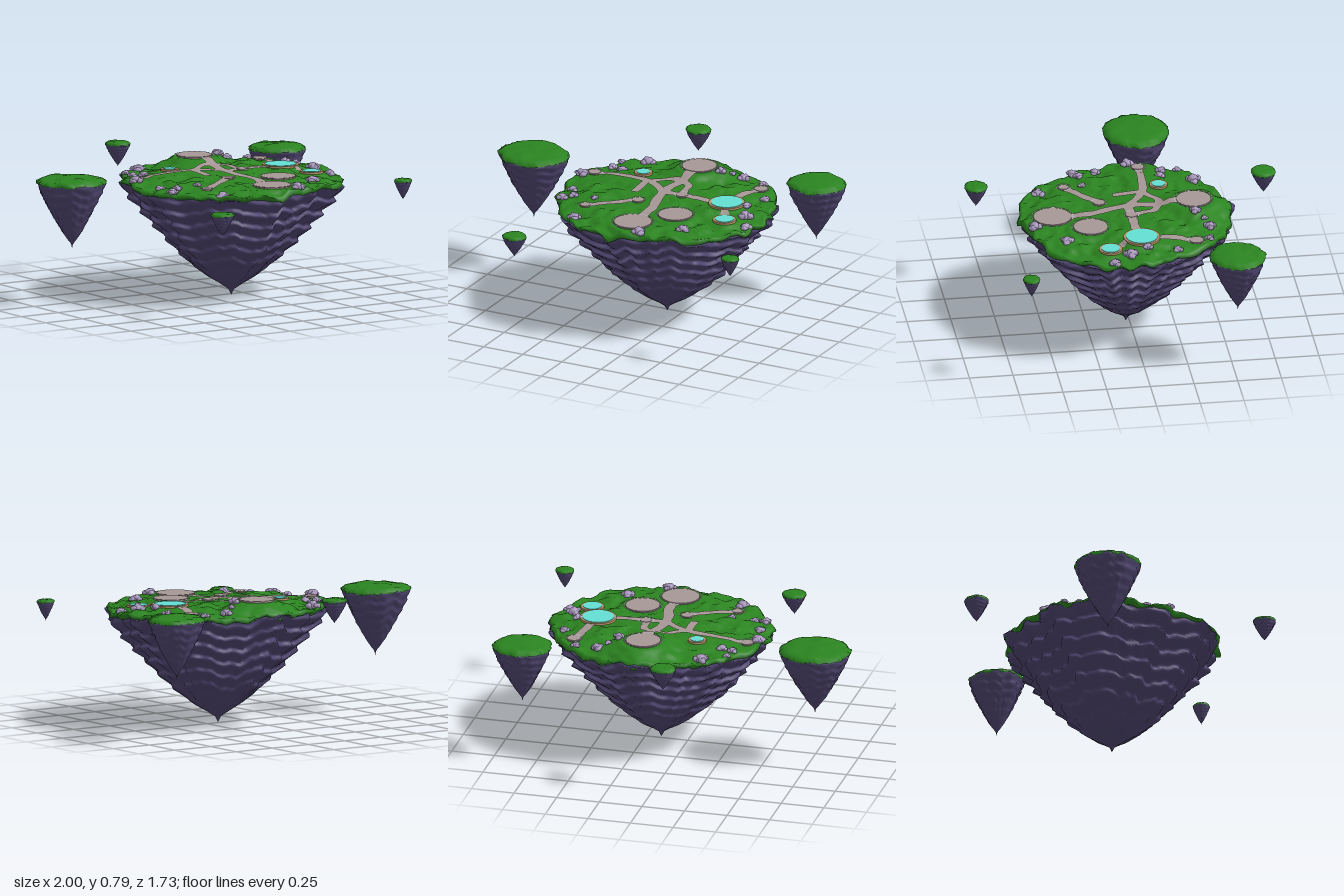
import * as THREE from 'three';
import { mergeVertices } from 'three/addons/utils/BufferGeometryUtils.js';

const mat = (name, color) => Object.assign(new THREE.MeshStandardMaterial({ color }), { name });
const { smoothstep, lerp } = THREE.MathUtils;

// Seeded value noise in the range -1..1
function hash(i, j, k) {
  let h = Math.imul(i, 374761393) ^ Math.imul(j, 668265263) ^ Math.imul(k, 1274126177);
  h = Math.imul(h ^ (h >>> 13), 1103515245);
  return ((h ^ (h >>> 16)) >>> 0) / 2147483648 - 1;
}
function noise(x, y, z) {
  const i = Math.floor(x), j = Math.floor(y), k = Math.floor(z);
  const u = smoothstep(x - i, 0, 1), v = smoothstep(y - j, 0, 1), w = smoothstep(z - k, 0, 1);
  const edge = (b, c) => lerp(hash(i, j + b, k + c), hash(i + 1, j + b, k + c), u);
  return lerp(lerp(edge(0, 0), edge(1, 0), v), lerp(edge(0, 1), edge(1, 1), v), w);
}

// Smooth surface from rows of points; wrap closes each row into a loop, flip turns it over
function grid(rows, cols, wrap, flip, fn) {
  const pos = [], idx = [];
  for (let u = 0; u < rows; u++) for (let v = 0; v < cols; v++) pos.push(...fn(u, v));
  for (let u = 0; u < rows - 1; u++) {
    for (let v = 0; v < (wrap ? cols : cols - 1); v++) {
      const w = (v + 1) % cols, a = u * cols + v, b = a + cols, c = (u + 1) * cols + w, d = u * cols + w;
      if (flip) idx.push(a, c, b, a, d, c);
      else idx.push(a, b, c, a, c, d);
    }
  }
  const g = new THREE.BufferGeometry();
  g.setAttribute('position', new THREE.Float32BufferAttribute(pos, 3));
  g.setIndex(idx);
  g.computeVertexNormals();
  return g;
}

// Layout of the main island: [x, z, radius]
const CX = 0.16, CZ = 0.02;
const plazas = [[0.163, -0.367, 0.099], [0.16, 0.44, 0.108], [0.33, 0.245, 0.098],
  [0.58, -0.325, 0.04], [-0.38, -0.125, 0.037], [0.045, 0.157, 0.035], [-0.205, 0.325, 0.03], [0.245, 0, 0.034]];
const pools = [[0.52, -0.02, 0.09], [0.605, 0.17, 0.053], [-0.11, -0.205, 0.038]];
const paths = [
  [0.031, [0.163, -0.3], [0.16, -0.18], [0.13, -0.05], [0.14, 0.1], [0.17, 0.22], [0.165, 0.38]],
  [0.025, [-0.38, -0.125], [-0.2, -0.12], [-0.03, -0.1], [0.05, -0.06], [0.13, 0.0], [0.25, 0.0], [0.46, 0]],
  [0.023, [-0.03, -0.1], [-0.025, -0.02], [-0.025, 0.07]],
  [0.022, [-0.02, -0.1], [0.03, -0.13], [0.08, -0.17], [0.16, -0.165], [0.22, -0.13], [0.23, -0.06], [0.245, 0]],
  [0.027, [0.53, -0.08], [0.545, -0.2], [0.58, -0.32]],
  [0.024, [0.54, 0.04], [0.59, 0.14]],
  [0.024, [0.045, 0.157], [-0.05, 0.23], [-0.13, 0.28], [-0.205, 0.325]],
].map(([w, ...p]) => ({ w, curve: new THREE.CatmullRomCurve3(p.map(([x, z]) => new THREE.Vector3(x, 0, z))) }));
const trail = paths.flatMap((p) => p.curve.getSpacedPoints(24));

// Gentle hill, highest at the rear plaza, falling away to the rim
function base(x, z) {
  const r = Math.hypot(x - CX, z - CZ) / 0.63;
  return 0.692 - 0.035 * r ** 3 + 0.02 * smoothstep(-z, -0.25, 0.15)
    + 0.036 * (1 - smoothstep(Math.hypot(x - 0.163, z + 0.367), 0.1, 0.23));
}
// Ground height: bumps fade near trails and it is level under plazas and pools
function ground(x, z) {
  let near = 1;
  for (const p of trail) near = Math.min(near, Math.hypot(x - p.x, z - p.z));
  let y = base(x, z) + (0.016 * noise(x * 11, 3, z * 11) + 0.01 * noise(x * 25, 9, z * 25)) * smoothstep(near, 0.04, 0.1);
  for (const [cx, cz, r] of [...plazas, ...pools]) {
    y = lerp(base(cx, cz), y, smoothstep(Math.hypot(x - cx, z - cz), r + 0.02, r + 0.055));
  }
  return y;
}

// Radius of the hanging rock against height, both 0..1
const mainProfile = [[0, 0], [0.05, 0.025], [0.1, 0.1], [0.17, 0.22], [0.31, 0.4], [0.47, 0.56], [0.62, 0.69], [0.78, 0.82], [0.9, 0.93], [1, 0.99]];
const smallProfile = [[0, 0], [0.07, 0.025], [0.13, 0.12], [0.25, 0.28], [0.45, 0.5], [0.65, 0.7], [0.85, 0.88], [1, 0.98]];
function profileAt(profile, t) {
  const i = Math.max(1, profile.findIndex((p) => p[0] >= t));
  const [a, b] = [profile[i - 1], profile[i]];
  return lerp(a[1], b[1], (t - a[0]) / (b[0] - a[0]));
}

// One floating island: layered rock cone and a grass cap with a ragged lip
function island(name, o, mats) {
  const { x, z, rx, rz, tip, height, bands, cols, rows, rings, rough } = o;
  const group = new THREE.Group();
  group.name = name;
  const dir = (v) => [Math.cos((v / cols) * Math.PI * 2), Math.sin((v / cols) * Math.PI * 2)];
  const rim = (c, s) => 1 + rough * (0.55 * noise(c * 4 + x * 9, 1, s * 4) + 0.6 * noise(c * o.scallop, 5 + x * 7, s * o.scallop));
  const rock = grid(rows + 1, cols, true, false, (u, v) => {
    const t = Math.min(1, u / (rows - 1)), [c, s] = dir(v);
    const wave = t * bands + 0.45 * noise(c * 2.5, x * 5, s * 2.5) + 0.2 * noise(c * 8, 2, s * 8);
    const f = wave - Math.floor(wave);
    const shelf = f < 0.7 ? f / 0.7 : (1 - f) / 0.3;
    const fade = smoothstep(t, 0.04, 0.45);
    let k = profileAt(o.profile, t) * (1 + (rim(c, s) - 1) * fade
      + fade * o.step * (shelf - 0.55) * (1 - 0.6 * smoothstep(t, 0.85, 1))
      + rough * 0.8 * noise(c * o.scallop, t * 4, s * o.scallop) * smoothstep(t, 0, 0.25));
    // The last row turns in beneath the grass
    if (u === rows) k *= 0.88;
    const top = height(x + c * rx * 0.97, z + s * rz * 0.97) - o.lip;
    return [x + c * rx * k, lerp(tip, top, t), z + s * rz * k];
  });
  const cap = grid(rings + 2, cols, true, false, (u, v) => {
    const [c, s] = dir(v), e = rim(c, s);
    const k = u === 0 ? 0.95 : u === 1 ? 1.0 : 1 - (u - 1) / rings;
    const m = k * lerp(1, e, k);
    const px = x + c * rx * m, pz = z + s * rz * m;
    const drop = u === 0 ? o.lip * 1.5 : u === 1 ? o.lip * (0.7 + 0.5 * noise(c * 12, 8, s * 12)) : 0;
    return [px, height(px, pz) - drop, pz];
  });
  const rockMesh = new THREE.Mesh(rock, mats.rock), capMesh = new THREE.Mesh(cap, mats.grass);
  rockMesh.name = 'hangingRock';
  capMesh.name = 'grassCap';
  group.add(rockMesh, capMesh);
  return group;
}

export function createModel() {
  const model = new THREE.Group();
  model.name = 'floatingIslands';
  const mats = {
    rock: mat('purple rock', 0x4f4670), grass: mat('grass', 0x2b8420), path: mat('path', 0xa69795),
    water: mat('water', 0x64dfd4), sand: mat('sand rim', 0xb3946a), boulder: mat('lilac boulder', 0xa897bd),
    stone: mat('edging stone', 0xb9b0c2),
  };
  mats.path.side = THREE.DoubleSide;
  const add = (name, geo, m, x = 0, y = 0, z = 0, parent = model) => {
    const mesh = new THREE.Mesh(geo, m);
    mesh.name = name;
    mesh.position.set(x, y, z);
    parent.add(mesh);
  };

  // Main island
  model.add(island('mainIsland', { x: CX, z: CZ, rx: 0.645, rz: 0.598, tip: 0, height: ground, profile: mainProfile, bands: 8,
    cols: 160, rows: 80, rings: 52, rough: 0.055, scallop: 10, step: 0.075, lip: 0.022 }, mats));

  // Satellite islands: x, z, radius along x, radius along z, top, tip
  [[-0.793, -0.172, 0.203, 0.19, 0.74, 0.325], [0.828, -0.525, 0.166, 0.158, 0.73, 0.365], [-0.07, -0.8, 0.074, 0.07, 0.787, 0.64],
    [-0.41, 0.797, 0.069, 0.065, 0.632, 0.495], [0.9, 0.665, 0.052, 0.048, 0.688, 0.565]].forEach(([x, z, rx, rz, top, tip], i) => {
    const height = (px, pz) => top - 0.09 * rx * (Math.hypot(px - x, pz - z) / rx) ** 2 + rx * 0.03 * noise(px * 3 / rx, i, pz * 3 / rx);
    model.add(island('satelliteIsland' + (i + 1), { x, z, rx, rz, tip, height, profile: smallProfile, bands: 7, cols: rx > 0.1 ? 72 : 48,
      rows: 36, rings: 8, rough: 0.065, scallop: 6, step: 0.05, lip: 0.06 * rx + 0.006 }, mats));
  });

  // Winding paths laid over the ground
  paths.forEach(({ w, curve }, i) => {
    const n = 40, across = 5;
    add('path' + (i + 1), grid(n + 1, across, false, true, (u, v) => {
      const p = curve.getPointAt(u / n), t = curve.getTangentAt(u / n);
      const k = (v / (across - 1) - 0.5) * 2 * w * (1 + 0.15 * noise(p.x * 25, i, p.z * 25));
      const x = p.x - t.z * k, z = p.z + t.x * k;
      return [x, ground(x, z) + 0.007, z];
    }), mats.path);
  });

  // Round plazas, each edged with a broken ring of flat stones
  plazas.forEach(([x, z, r], i) => {
    const y = base(x, z);
    add('plaza' + (i + 1), new THREE.CylinderGeometry(r, r, 0.03, 40), mats.path, x, y - 0.005, z);
    const ring = new THREE.Group();
    ring.name = 'stoneRing' + (i + 1);
    ring.position.set(x, y + 0.009, z);
    const n = Math.round((r * Math.PI * 2) / 0.028), step = (Math.PI * 2) / n;
    for (let k = 0; k < n; k++) {
      const arc = new THREE.RingGeometry(r + 0.005, r + 0.014, 3, 1, k * step, step * 0.75).rotateX(-Math.PI / 2);
      add('edgingStone', arc, mats.stone, 0, 0, 0, ring);
    }
    model.add(ring);
  });

  // Pools with sandy rims
  pools.forEach(([x, z, r], i) => {
    const y = base(x, z);
    add('poolRim' + (i + 1), new THREE.CylinderGeometry(r + 0.014, r + 0.016, 0.026, 40), mats.sand, x, y - 0.002, z);
    add('poolWater' + (i + 1), new THREE.CylinderGeometry(r, r, 0.006, 40), mats.water, x, y + 0.011, z);
  });

  // Boulder clusters: x, z, size
  [[-0.19, -0.415, 0.038], [-0.33, -0.25, 0.026], [-0.265, -0.235, 0.027], [-0.43, -0.07, 0.035], [-0.39, 0.12, 0.026],
    [-0.39, 0.25, 0.028], [-0.335, 0.22, 0.025], [-0.2, 0.22, 0.02], [-0.195, 0.475, 0.036], [0.26, 0.555, 0.035],
    [0.46, 0.4, 0.034], [0.685, 0.065, 0.038], [0.735, 0.16, 0.03], [0.635, -0.04, 0.026], [0.67, -0.205, 0.026],
    [0.31, -0.355, 0.028], [0.415, -0.425, 0.032], [0.55, -0.405, 0.024], [-0.32, -0.34, 0.02], [0.36, -0.4, 0.018]].forEach(([x, z, r], i) => {
    const cluster = new THREE.Group();
    cluster.name = 'boulderCluster' + (i + 1);
    cluster.position.set(x, ground(x, z), z);
    for (let k = 0; k < 4; k++) {
      const size = r * (k ? 0.6 : 0.85), a = i * 1.7 + k * 2.1;
      const ball = new THREE.IcosahedronGeometry(size, 2);
      ball.deleteAttribute('normal');
      ball.deleteAttribute('uv');
      const geo = mergeVertices(ball, size * 0.01), p = geo.attributes.position;
      for (let n = 0; n < p.count; n++) {
        const q = new THREE.Vector3().fromBufferAttribute(p, n);
        q.multiplyScalar(1 + 0.3 * noise(q.x / size * 2.5 + i * 5, q.y / size * 2.5 + k * 3, q.z / size * 2.5));
        p.setXYZ(n, q.x, q.y * 0.8, q.z);
      }
      geo.computeVertexNormals();
      add('boulder', geo, mats.boulder, k ? Math.cos(a) * r * 0.65 : 0, size * 0.3, k ? Math.sin(a) * r * 0.65 : 0, cluster);
    }
    model.add(cluster);
  });
  return model;
}
